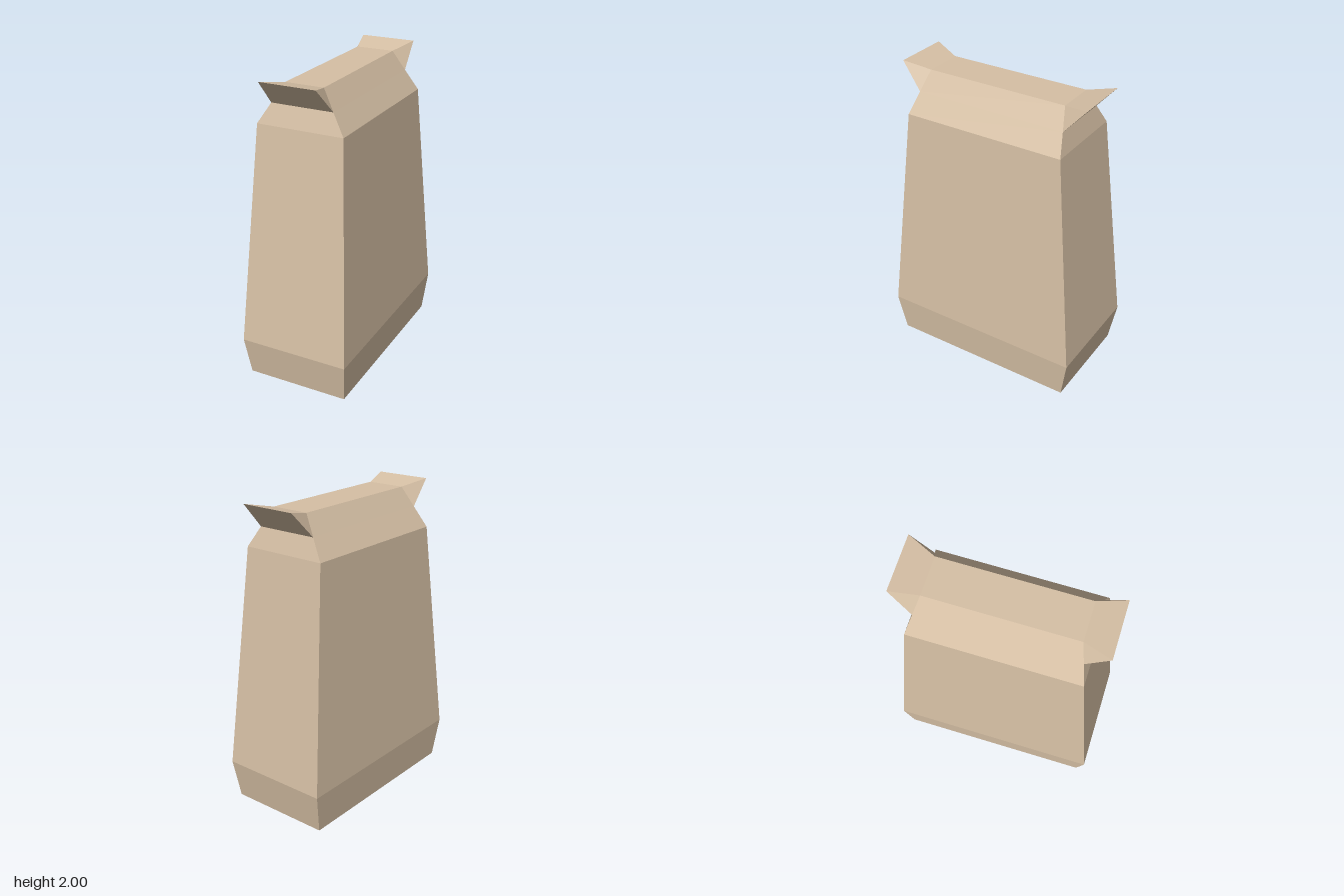
import * as THREE from 'three';

// Flat-shaded mesh from polygons, each a counter-clockwise loop of points
function polygonMesh(name, polygons, material) {
  const positions = [];
  for (const p of polygons) {
    for (let i = 1; i < p.length - 1; i++) positions.push(...p[0], ...p[i], ...p[i + 1]);
  }
  const geometry = new THREE.BufferGeometry();
  geometry.setAttribute('position', new THREE.Float32BufferAttribute(positions, 3));
  geometry.computeVertexNormals();
  const mesh = new THREE.Mesh(geometry, material);
  mesh.name = name;
  return mesh;
}

// Rectangular cross-section, counter-clockwise from above
const ring = ([y, x, z]) => [[x, y, z], [x, y, -z], [-x, y, -z], [-x, y, z]];

export function createModel() {
  const group = new THREE.Group();
  group.name = 'paperBag';
  const paper = new THREE.MeshStandardMaterial({ color: 0xd6c0a5, flatShading: true });
  paper.name = 'kraft paper';

  // Height, half width and half depth of each cross-section
  const rings = [
    [0, 0.342, 0.64],
    [0.262, 0.366, 0.686],
    [1.708, 0.287, 0.541],
    [1.838, 0.205, 0.506],
    [1.963, 0.127, 0.472],
  ].map(ring);
  const last = rings.length - 2;

  // Bag body; the ends of the top band are left open for the folded ears
  const body = [[...rings[0]].reverse()];
  for (let k = 0; k <= last; k++) {
    for (let i = 0; i < 4; i++) {
      if (k === last && i % 2) continue;
      const j = (i + 1) % 4;
      body.push([rings[k][i], rings[k][j], rings[k + 1][j], rings[k + 1][i]]);
    }
  }
  group.add(polygonMesh('bagBody', body, paper));
  group.add(polygonMesh('bagTop', [rings[last + 1]], paper));

  // Pinched ear sticking out of the front end; the back one is turned half round
  const a = rings[last][3], b = rings[last][0];
  const c = rings[last + 1][0], d = rings[last + 1][3];
  const tipA = [-0.198, 2, 0.651], tipB = [0.172, 2, 0.651];
  const ear = [[a, b, tipB, tipA], [b, c, tipB], [c, d, tipA, tipB], [d, a, tipA]];
  for (const [name, turn] of [['frontEar', 0], ['backEar', Math.PI]]) {
    const mesh = polygonMesh(name, ear, paper);
    mesh.rotation.y = turn;
    group.add(mesh);
  }
  return group;
}
